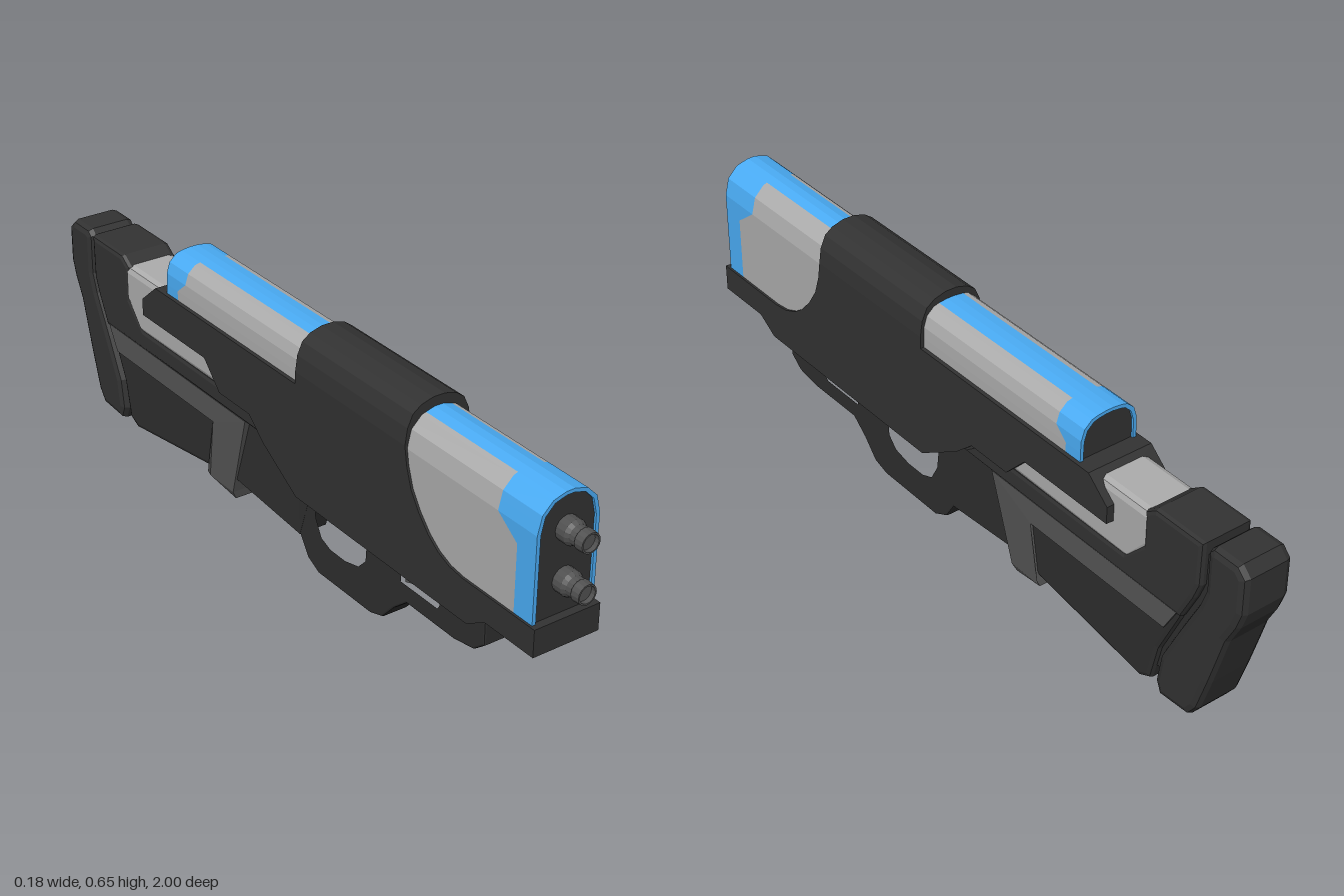
import * as THREE from 'three';

const mat = (color, extra = {}) => new THREE.MeshStandardMaterial({ color, ...extra });
const dark = mat(0x323232);
const darker = mat(0x2e2e2e);
const mid = mat(0x555555);
const light = mat(0xacacac, { side: THREE.DoubleSide, flatShading: true });
const blue = mat(0x4aacf5, { side: THREE.DoubleSide, flatShading: true });
const steel = mat(0x505050, { side: THREE.DoubleSide, flatShading: true });

const vectors = (pts) => pts.map(([a, b]) => new THREE.Vector2(a, b));

// Linear blend from a to b while v runs from v0 to v1
const ramp = (v, v0, v1, a, b) =>
  THREE.MathUtils.lerp(a, b, THREE.MathUtils.clamp((v - v0) / (v1 - v0), 0, 1));

function add(group, name, geometry, material) {
  const mesh = new THREE.Mesh(geometry, material);
  mesh.name = name;
  group.add(mesh);
  return mesh;
}

// Side outline in (z, y), extruded across x to the given half width
function slab(outline, half, bevel = 0, holes = []) {
  const shape = new THREE.Shape(vectors(outline));
  holes.forEach((h) => shape.holes.push(new THREE.Path(vectors(h))));
  const geo = new THREE.ExtrudeGeometry(shape, {
    depth: 2 * (half - bevel), bevelEnabled: bevel > 0, bevelThickness: bevel,
    bevelSize: bevel, bevelOffset: -bevel, bevelSegments: 2,
  });
  return geo.translate(0, 0, -(half - bevel)).rotateY(-Math.PI / 2);
}

// Scales the width of a slab by a rule of y and z
function taper(geo, rule) {
  const p = geo.attributes.position;
  for (let i = 0; i < p.count; i++) p.setX(i, p.getX(i) * rule(p.getY(i), p.getZ(i)));
  geo.computeVertexNormals();
  return geo;
}

// Front outline in (x, y), extruded along z between two stations
function prism(outline, z0, z1) {
  return new THREE.ExtrudeGeometry(new THREE.Shape(vectors(outline)), { depth: z1 - z0, bevelEnabled: false })
    .translate(0, 0, z0);
}

// Mirrors a right-hand half section into a full arch
const arch = (half) => [...half, ...half.map(([x, y]) => [-x, y]).reverse()];

// Skin following arch points, running from zA to zB at each point
function skin(pts, zA, zB) {
  const pos = [];
  for (let i = 0; i + 1 < pts.length; i++) {
    const [p, q] = [pts[i], pts[i + 1]];
    const a = [...p, zA(p)], b = [...q, zA(q)], c = [...q, zB(q)], d = [...p, zB(p)];
    pos.push(...a, ...b, ...c, ...a, ...c, ...d);
  }
  const geo = new THREE.BufferGeometry();
  geo.setAttribute('position', new THREE.Float32BufferAttribute(pos, 3));
  geo.computeVertexNormals();
  return geo;
}

// Arched cover: coloured end band, pale side panels, coloured top stripe, rim and recessed end plate
function cover(name, half, zEnd, zJoin, zBand) {
  const group = new THREE.Group();
  group.name = name;
  const full = arch(half);
  const stripe = half.length - 2;
  const end = () => zEnd, join = () => zJoin;
  add(group, 'endBand', skin(full, end, zBand), blue);
  add(group, 'topStripe', skin(full.slice(stripe, full.length - stripe), zBand, join), blue);
  add(group, 'leftPanel', skin(full.slice(0, stripe + 1), zBand, join), light);
  add(group, 'rightPanel', skin(full.slice(full.length - stripe - 1), zBand, join), light);
  const inner = full.map(([x, y]) => [x * 0.885, y - ramp(y, 0.52, 0.63, 0, 0.009)]);
  const s = Math.sign(zEnd - zJoin);
  const span = (d0, d1) => [zEnd - s * d0, zEnd - s * d1].sort((a, b) => a - b);
  add(group, 'rim', prism([...full, ...inner.slice().reverse()], ...span(0, 0.02)), blue);
  add(group, 'endPlate', prism(inner, ...span(0.006, 0.02)), dark);
  return group;
}

export function createModel() {
  const model = new THREE.Group();

  // Main body and the arched saddle over its middle
  add(model, 'body', slab([
    [0.945, 0.33], [0.705, 0.33], [0.66, 0.336], [0.62, 0.352], [0.585, 0.377], [0.55, 0.415], [0.52, 0.46],
    [0.503, 0.51], [0.495, 0.557], [0.08, 0.557], [0.08, 0.525], [-0.53, 0.525], [-0.595, 0.47],
    [-0.595, 0.425], [-0.31, 0.425], [-0.245, 0.357], [-0.115, 0.357], [-0.055, 0.305], [0.08, 0.223],
    [0.725, 0.223], [0.785, 0.26], [0.945, 0.26],
  ], 0.09), dark);
  add(model, 'saddle', prism(arch([
    [0.09, 0.53], [0.09, 0.557], [0.084, 0.598], [0.07, 0.629], [0.048, 0.645], [0.016, 0.654],
  ]), 0.08, 0.495), dark);

  // Front and rear covers
  model.add(cover('frontCover', [
    [0.084, 0.328], [0.084, 0.5], [0.084, 0.548], [0.0775, 0.575], [0.073, 0.593], [0.046, 0.62],
    [0.035, 0.6235], [0.011, 0.63],
  ], 0.93, 0.3, ([, y]) => ramp(y, 0.5, 0.548, 0.87, 0.805)));
  model.add(cover('rearCover', [
    [0.08, 0.5], [0.08, 0.55], [0.079, 0.58], [0.07, 0.608], [0.05, 0.626], [0.035, 0.63], [0.011, 0.633],
  ], -0.49, 0.2, ([, y]) => ramp(y, 0.55, 0.58, -0.44, -0.405)));

  // Twin muzzles
  for (const y of [0.538, 0.413]) {
    const profile = vectors([[0.031, 0], [0.031, 0.03], [0.025, 0.04], [0.024, 0.054], [0.027, 0.058],
      [0.025, 0.08], [0.021, 0.08], [0.021, 0.068], [0, 0.068]]);
    const muzzle = add(model, 'muzzle', new THREE.LatheGeometry(profile, 16).rotateX(Math.PI / 2), steel);
    muzzle.position.set(0, y, 0.92);
  }

  // Lower frame with two openings
  add(model, 'guard', slab([
    [0.727, 0.25], [0.727, 0.145], [0.69, 0.115], [0.62, 0.103], [0.447, 0.103], [0.4, 0.064], [0.357, 0.016],
    [0.31, 0.001], [0.1, 0], [0.055, 0.022], [0.024, 0.07], [0, 0.075], [0, 0.25],
  ], 0.038, 0.005, [
    [[0.572, 0.235], [0.572, 0.158], [0.562, 0.146], [0.42, 0.146], [0.42, 0.235]],
    [[0.302, 0.235], [0.295, 0.132], [0.265, 0.1], [0.21, 0.087], [0.15, 0.087], [0.11, 0.102],
      [0.085, 0.148], [0.075, 0.235]],
  ]), darker);
  add(model, 'trigger', slab([[0.455, 0.24], [0.465, 0.155], [0.42, 0.14], [0.415, 0.24]], 0.02), mid);

  // Grip, widening from the guard towards the stock
  add(model, 'grip', taper(
    slab([[0.075, 0.23], [0.024, 0.072], [-0.27, 0.12], [-0.27, 0.34], [-0.1, 0.35], [0.02, 0.3]], 1),
    (y, z) => ramp(z, 0.03, -0.25, 0.038, 0.061)), darker);

  // Stock
  add(model, 'stock', slab([
    [-0.2, 0.32], [-0.24, 0.115], [-0.34, 0.095], [-0.695, 0.043], [-0.73, 0.06], [-0.752, 0.16],
    [-0.81, 0.285], [-0.83, 0.34], [-0.2, 0.34],
  ], 0.063, 0.012), darker);
  add(model, 'stockRail', slab([
    [-0.055, 0.305], [-0.115, 0.36], [-0.63, 0.36], [-0.692, 0.42], [-0.692, 0.512], [-0.725, 0.535],
    [-0.874, 0.535], [-0.872, 0.42], [-0.855, 0.375], [-0.818, 0.3],
  ], 0.071, 0.012), dark);
  add(model, 'stockInlay', slab([
    [-0.2, 0.35], [-0.2, 0.43], [-0.545, 0.44], [-0.545, 0.515], [-0.715, 0.515], [-0.715, 0.42], [-0.65, 0.345],
  ], 0.07, 0.018), light);
  add(model, 'stockBand', taper(slab([
    [-0.165, 0.306], [-0.807, 0.306], [-0.77, 0.24], [-0.31, 0.24], [-0.338, 0.085], [-0.34, 0.069],
    [-0.24, 0.046], [-0.235, 0.07],
  ], 0.069), (y) => ramp(y, 0.085, 0.046, 1, 0.72)), mid);

  // Shoulder pad
  add(model, 'shoulderPad', slab([
    [-0.885, 0.525], [-0.9, 0.54], [-0.975, 0.54], [-1, 0.515], [-1, 0.42], [-0.985, 0.375], [-0.957, 0.32],
    [-0.937, 0.25], [-0.915, 0.175], [-0.885, 0.08], [-0.86, 0.046], [-0.765, 0.04], [-0.75, 0.075],
    [-0.762, 0.155], [-0.815, 0.265], [-0.868, 0.37], [-0.885, 0.42],
  ], 0.069, 0.018), dark);
  add(model, 'padCore', slab([[-0.8, 0.5], [-0.93, 0.5], [-0.93, 0.4], [-0.82, 0.1], [-0.7, 0.1]], 0.05), darker);

  return model;
}
